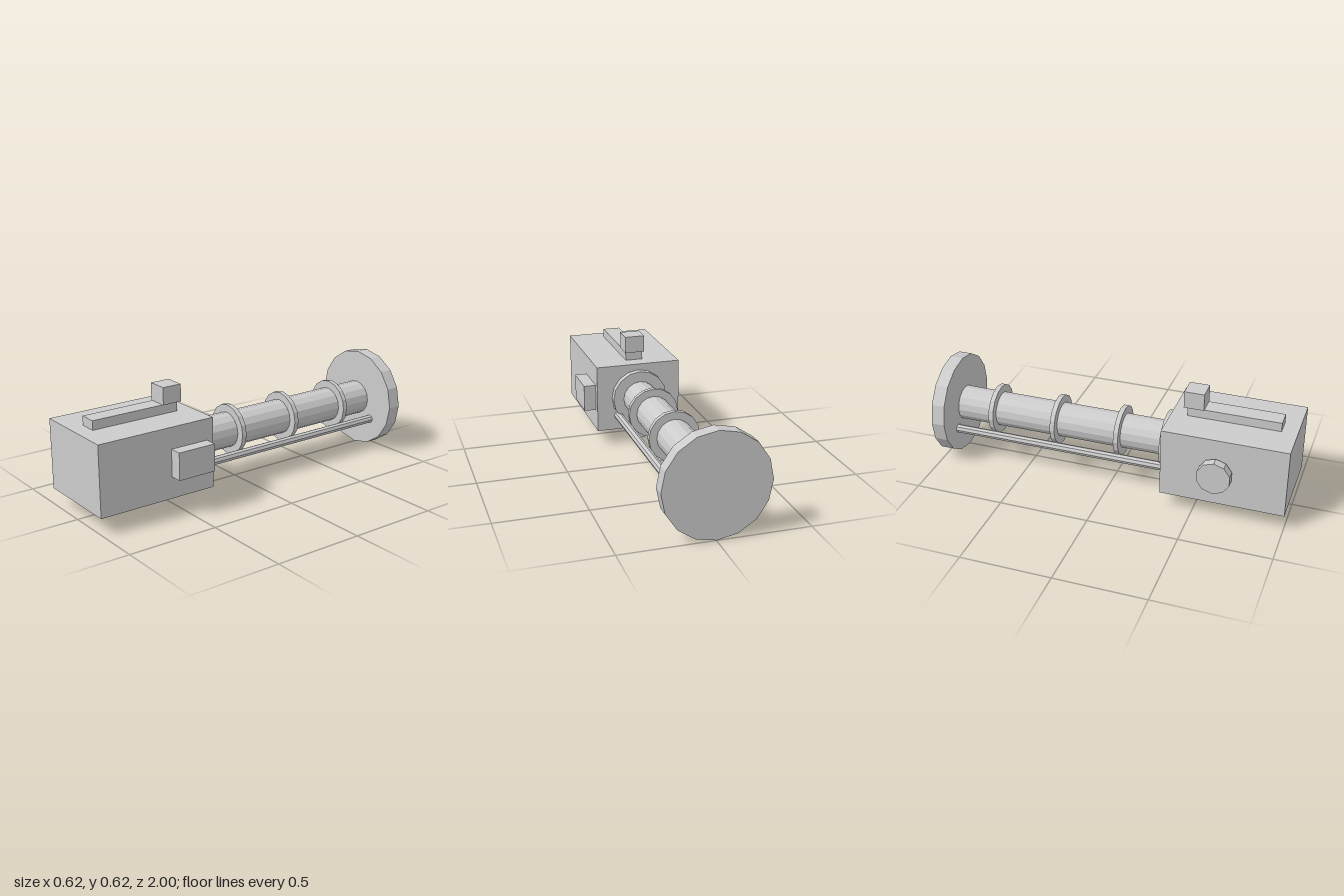
import * as THREE from 'three';

export function createModel() {
  const model = new THREE.Group();
  const material = new THREE.MeshStandardMaterial({ color: 0xcccccc, flatShading: true });
  const cx = -0.003, axisY = 0.284;

  function add(name, geometry, x, y, z) {
    const mesh = new THREE.Mesh(geometry, material);
    mesh.name = name;
    mesh.position.set(x, y, z);
    model.add(mesh);
  }
  // Box given by its extents
  function box(name, x0, x1, y0, y1, z0, z1) {
    add(name, new THREE.BoxGeometry(x1 - x0, y1 - y0, z1 - z0),
      (x0 + x1) / 2, (y0 + y1) / 2, (z0 + z1) / 2);
  }
  // Cylinder lying along z, between z0 and z1
  function rod(name, radius, sides, x, y, z0, z1) {
    const geometry = new THREE.CylinderGeometry(radius, radius, z1 - z0, sides).rotateX(Math.PI / 2);
    add(name, geometry, x, y, (z0 + z1) / 2);
  }

  // Housing with top rail, sight block and side box
  box('housing', -0.248, 0.242, 0.091, 0.477, 0.322, 1);
  box('topRail', -0.052, 0.046, 0.477, 0.527, 0.41, 0.915);
  box('sightBlock', -0.06, 0.053, 0.527, 0.622, 0.39, 0.5);
  box('sideBox', 0.242, 0.31, 0.21, 0.36, 0.36, 0.58);

  // Round knob standing just off the right side
  const knob = new THREE.CylinderGeometry(0.092, 0.092, 0.049, 10)
    .rotateY(Math.PI / 2).rotateZ(Math.PI / 2);
  add('sideKnob', knob, -0.2875, axisY, 0.625);

  // Half-sunk cylinder below the housing
  rod('underCylinder', 0.077, 12, cx, 0.091, 0.322, 0.58);

  // Barrel, mounting flange, rings and end disc
  rod('barrel', 0.098, 16, cx, axisY, -0.925, 0.33);
  rod('flange', 0.158, 16, cx, axisY, 0.285, 0.322);
  for (const z of [0.035, -0.335, -0.705]) {
    rod('barrelRing', 0.141, 16, cx, axisY, z - 0.0135, z + 0.0135);
  }
  rod('endDisc', 0.283, 16, cx, axisY, -1, -0.925);

  // Pair of guide rods under the barrel
  for (const side of [-1, 1]) {
    rod('guideRod', 0.024, 8, cx + side * 0.122, 0.176, -0.925, 0.322);
  }
  return model;
}
